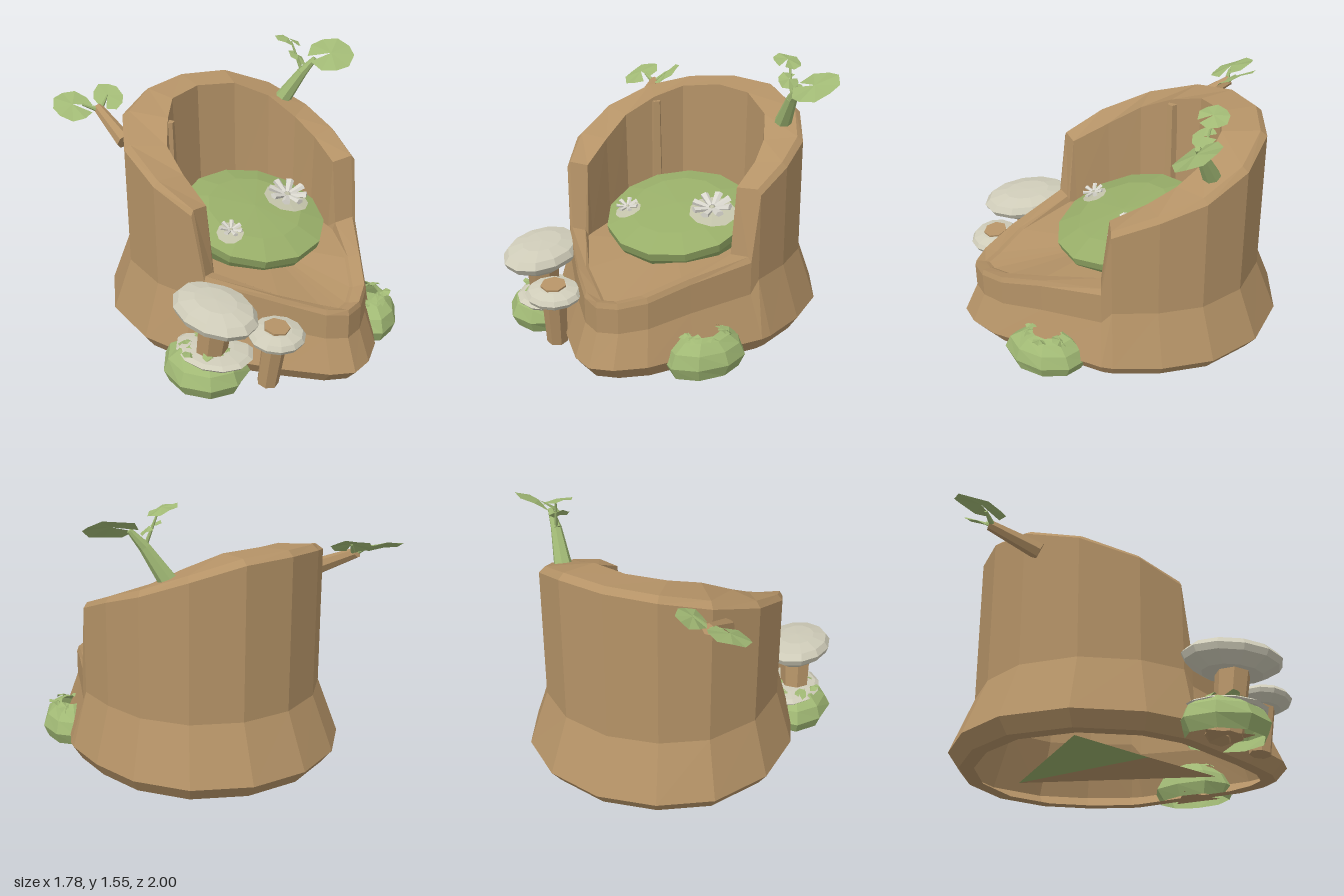
import * as THREE from 'three';

const mat = (name, color, side = THREE.DoubleSide) => new THREE.MeshStandardMaterial({ name, color, side });

// Flat facets for every part
function flat(geo) {
  const g = geo.index ? geo.toNonIndexed() : geo;
  g.computeVertexNormals();
  return g;
}

function add(parent, name, geo, material, pos = [0, 0, 0], rot = [0, 0, 0], scale = [1, 1, 1]) {
  const m = new THREE.Mesh(flat(geo), material);
  m.name = name;
  m.position.set(...pos);
  m.rotation.set(...rot);
  m.scale.set(...scale);
  parent.add(m);
  return m;
}

// Tapered stem between two points
function stem(parent, name, a, b, ra, rb, material) {
  const A = new THREE.Vector3(...a), d = new THREE.Vector3(...b).sub(A);
  const m = add(parent, name, new THREE.CylinderGeometry(rb, ra, d.length(), 7), material);
  m.position.copy(A).addScaledVector(d, 0.5);
  m.quaternion.setFromUnitVectors(new THREE.Vector3(0, 1, 0), d.normalize());
}

const lathe = (pts, n) => new THREE.LatheGeometry(pts.map(p => new THREE.Vector2(...p)), n);

// Stump columns, clockwise from the back: base x, z, inner wall x, z, rim height
const columns = [
  [0.05, -0.91, 0.02, -0.55, 1.29], [0.38, -0.82, 0.24, -0.47, 1.28],
  [0.64, -0.6, 0.4, -0.33, 1.2], [0.76, -0.3, 0.46, -0.15, 1.1],
  [0.75, 0, 0.47, 0.02, 1.02], [0.68, 0.27, 0.44, 0.22, 0.93],
  [0.65, 0.33, 0.43, 0.27, 0.55], [0.38, 0.65, 0.26, 0.56, 0.5],
  [0.2, 0.87, 0.11, 0.76, 0.45], [0.05, 0.97, 0, 0.84, 0.43],
  [-0.08, 1.0, -0.07, 0.86, 0.43], [-0.2, 0.93, -0.14, 0.78, 0.44],
  [-0.37, 0.73, -0.3, 0.61, 0.48], [-0.66, 0.33, -0.49, 0.27, 0.54],
  [-0.7, 0.27, -0.49, 0.22, 0.93], [-0.78, 0, -0.48, 0, 1.03],
  [-0.75, -0.38, -0.45, -0.2, 1.13], [-0.56, -0.7, -0.33, -0.36, 1.22],
  [-0.28, -0.86, -0.2, -0.5, 1.27],
];

// One column's section: underside, flared foot, bark, rim, inner wall, seat floor
function section([bx, bz, ix, iz, h]) {
  const tx = bx * 0.87, tz = bz * (bz > 0 ? 0.92 : 0.86);
  const floor = Math.min(0.49, h - 0.025);
  return [
    [bx * 0.84, 0, bz * 0.84], [bx * 0.93, 0, bz * 0.93], [bx, 0.08, bz],
    [tx, Math.min(0.4, h * 0.6), tz], [tx, h - 0.03, tz],
    [tx * 0.85 + ix * 0.15, h, tz * 0.85 + iz * 0.15], [ix, h - 0.015, iz],
    [ix * 0.97, floor, iz * 0.97], [0, 0.47, 0.1],
  ];
}

function stumpGeometry() {
  const s = columns.map(section), n = s.length, rings = s[0].length, pos = [], idx = [];
  for (const col of s) for (const p of col) pos.push(...p);
  for (let i = 0; i < n; i++) {
    for (let j = 0; j < rings - 1; j++) {
      const a = i * rings + j, b = ((i + 1) % n) * rings + j;
      idx.push(a, a + 1, b);
      if (j < rings - 2) idx.push(b, a + 1, b + 1);
    }
  }
  const g = new THREE.BufferGeometry();
  g.setAttribute('position', new THREE.Float32BufferAttribute(pos, 3));
  g.setIndex(idx);
  return g;
}

// Single flat triangle
const triangle = pts => new THREE.BufferGeometry().setFromPoints(pts.map(([x, z]) => new THREE.Vector3(x, 0.03, z)));

// Notched, slightly cupped leaf lying in the xz plane
function leafGeometry(rx, rz, notch = 0) {
  const g = new THREE.CircleGeometry(1, 9, notch + 0.2, Math.PI * 2 - 0.4);
  g.rotateX(-Math.PI / 2);
  const p = g.attributes.position;
  for (let i = 0; i < p.count; i++) {
    const x = p.getX(i), z = p.getZ(i), r = Math.hypot(x, z);
    p.setXYZ(i, x * rx, -0.02 * r * r + (i % 2) * 0.01, z * rz);
  }
  return g;
}

// Hollow, uneven dome of moss, open at the top
function mossGeometry(rx, rz) {
  const g = lathe([[0.85, 0], [1, 0.07], [0.86, 0.14], [0.6, 0.19], [0.38, 0.21]], 9);
  const p = g.attributes.position;
  for (let i = 0; i < p.count; i++) {
    const x = p.getX(i), z = p.getZ(i);
    const k = 1 + 0.04 * Math.sin(5 * x + 4 * z);
    p.setXYZ(i, x * rx * k, p.getY(i) * k, z * rz * k);
  }
  return g;
}

export function createModel() {
  const root = new THREE.Group();
  const bark = mat('bark brown', 0xb59367);
  const moss = mat('moss green', 0x97ad68, THREE.FrontSide);
  const leaf = mat('leaf green', 0xa0b874);
  const cap = mat('mushroom grey', 0xcfccb9);
  const petal = mat('petal grey', 0xd8d6cd);
  const patch = mat('pale moss', 0xc2c2a9);

  add(root, 'stumpChair', stumpGeometry(), bark);
  // Ridge on the inner wall
  add(root, 'wallRidge', new THREE.CylinderGeometry(0.03, 0.045, 0.7, 5), bark, [-0.32, 0.83, -0.36]);
  // Three-sided plate under the seat, half bark and half moss
  const [A, B, M, C] = [[0.36, -0.48], [0, 0.6], [-0.25, 0.14], [-0.51, -0.31]];
  add(root, 'undersidePlate', triangle([A, B, M]), bark);
  add(root, 'undersideMoss', triangle([A, M, C]), moss);

  // Moss cushion, tilted up at the back
  const cushion = new THREE.Group();
  cushion.name = 'mossCushion';
  cushion.position.set(0, 0.635, 0.015);
  cushion.rotation.x = 0.27;
  root.add(cushion);
  add(cushion, 'cushionTop', lathe([[0.39, -0.12], [0.425, -0.05], [0.43, 0], [0.28, 0.045], [0, 0.06]], 13), moss);
  const height = r => r < 0.28 ? 0.06 - r * 0.054 : 0.045 - (r - 0.28) * 0.3;

  // Flowers on pale patches that follow the cushion
  for (const [x, z, r, count] of [[-0.27, 0.12, 0.065, 7], [0.23, 0.02, 0.115, 8]]) {
    const disc = new THREE.CircleGeometry(r * 1.2, 10).rotateX(-Math.PI / 2).translate(x, 0, z);
    const p = disc.attributes.position;
    for (let i = 0; i < p.count; i++) p.setY(i, height(Math.hypot(p.getX(i), p.getZ(i))) + 0.009);
    add(cushion, 'palePatch', disc, patch);
    const flower = new THREE.Group();
    flower.name = 'flower';
    flower.position.set(x, height(Math.hypot(x, z)) + 0.025, z);
    cushion.add(flower);
    for (let i = 0; i < count; i++) {
      const spoke = new THREE.Group();
      spoke.name = 'petalSpoke';
      spoke.rotation.y = i * Math.PI * 2 / count;
      flower.add(spoke);
      add(spoke, 'petal', new THREE.CylinderGeometry(1, 0.6, 2, 5), petal,
        [r * 0.58, r * 0.16, 0], [0, 0, -1.3], [r * 0.14, r * 0.42, r * 0.23]);
    }
    add(flower, 'flowerCentre', new THREE.IcosahedronGeometry(r * 0.2), patch);
  }

  // Mushrooms: cap centre, radii, cap height, tilt, stem radius, stem top
  const capShape = [[0, -0.5], [0.6, -0.5], [0.93, -0.15], [1, 0.08], [0.88, 0.32], [0.5, 0.47], [0, 0.5]];
  for (const [x, y, z, rx, rz, h, tilt, sr, top] of [
    [-0.65, 0.45, 0.5, 0.2, 0.28, 0.15, 0.06, 0.08, 0.39],
    [-0.43, 0.335, 0.75, 0.16, 0.15, 0.1, 0.12, 0.06, 0.395],
    [-0.62, 0.17, 0.45, 0.2, 0.24, 0.07, 0, 0.07, 0.15],
  ]) {
    add(root, 'mushroomCap', lathe(capShape, 12), cap, [x, y, z], [tilt, 0, -0.04], [rx, h, rz]);
    stem(root, 'mushroomStem', [x - 0.02, 0.02, z - 0.05], [x, top, z], sr, sr * 1.2, bark);
  }

  // Moss mounds at the foot, with loose flakes on top
  for (const [x, z, rx, rz, turn] of [[-0.665, 0.43, 0.225, 0.26, 0.1], [0.41, 0.59, 0.175, 0.25, 2.5]]) {
    const mound = new THREE.Group();
    mound.name = 'mossMound';
    mound.position.set(x, 0, z);
    mound.rotation.y = turn;
    root.add(mound);
    add(mound, 'mound', mossGeometry(rx, rz), leaf);
    add(mound, 'moundUnderside', new THREE.CircleGeometry(0.16, 3), bark, [0, 0.02, 0], [Math.PI / 2, 0, 0]);
    for (let i = 0; i < 6; i++) {
      const a = i * 1.05;
      add(mound, 'mossFlake', leafGeometry(0.05, 0.04, a), leaf,
        [Math.cos(a) * rx * 0.5, 0.21, Math.sin(a) * rz * 0.5], [Math.sin(a) * 0.4, a, -Math.cos(a) * 0.4]);
    }
  }

  // Sprout on the left of the rim
  stem(root, 'sproutKnot', [0.5, 1.06, -0.35], [0.51, 1.14, -0.33], 0.08, 0.065, bark);
  stem(root, 'sproutStem', [0.5, 1.12, -0.34], [0.59, 1.32, -0.24], 0.055, 0.032, leaf);
  stem(root, 'sproutStem', [0.59, 1.32, -0.24], [0.65, 1.41, -0.19], 0.032, 0.016, leaf);
  stem(root, 'sproutTwig', [0.59, 1.32, -0.24], [0.55, 1.51, -0.3], 0.012, 0.005, leaf);
  add(root, 'sproutLeaf', leafGeometry(0.145, 0.14, 2.8), leaf, [0.745, 1.435, -0.15], [0.42, 0, 0.28]);
  add(root, 'sproutLeaf', leafGeometry(0.085, 0.085, 5), leaf, [0.535, 1.53, -0.31], [0.1, -0.3, -0.3]);
  add(root, 'sproutLeaf', leafGeometry(0.06, 0.07, 1), leaf, [0.565, 1.43, -0.25], [0.45, 0, -0.4]);

  // Sprout behind the right of the rim
  stem(root, 'branch', [-0.53, 1.06, -0.52], [-0.535, 1.19, -0.8], 0.05, 0.03, bark);
  stem(root, 'branchTwig', [-0.535, 1.18, -0.78], [-0.46, 1.25, -0.81], 0.018, 0.008, leaf);
  stem(root, 'branchTwig', [-0.535, 1.18, -0.78], [-0.62, 1.22, -0.83], 0.018, 0.008, leaf);
  add(root, 'branchLeaf', leafGeometry(0.11, 0.145, 5.6), leaf, [-0.67, 1.225, -0.86], [0.3, 0, 0.2]);
  add(root, 'branchLeaf', leafGeometry(0.08, 0.13, 3.6), leaf, [-0.46, 1.25, -0.81], [0.25, 0, 0.5]);

  return root;
}
